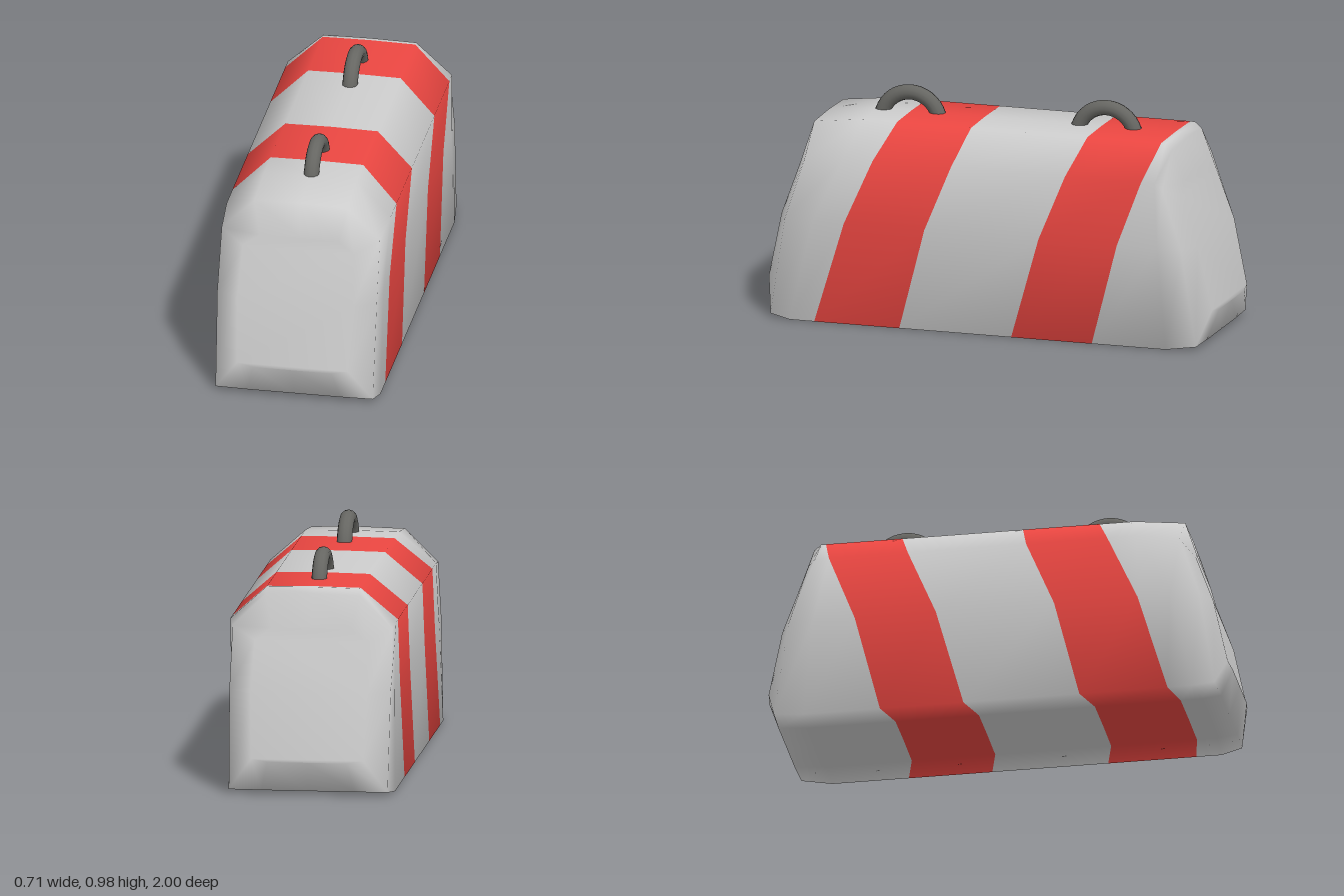
import * as THREE from 'three';

// Half cross-section of the body from top centre, down the +x side, to bottom centre
const SECTION = [[0, 0.868], [0.2, 0.865], [0.355, 0.725], [0.35, 0.44], [0.356, 0.003], [0.2, 0.01], [0, 0.013]];
const N = 12;

// Slanted rings along the body: z at top, shoulder, middle, bottom corner, bottom
const STATIONS = [
  [0.58, 0.62, 0.76, 0.86, 0.87],
  [0.43, 0.49, 0.62, 0.75, 0.78],
  [0.10, 0.14, 0.26, 0.37, 0.41],
  [-0.42, -0.37, -0.25, -0.13, -0.09],
  [-0.75, -0.71, -0.60, -0.49, -0.45],
  [-0.77, -0.77, -0.78, -0.82, -0.82],
];

// Rim and inner ring of the rounded ends
const RIM = [[0, 0.845, 0.8], [0.2, 0.84, 0.8], [0.342, 0.7, 0.8], [0.345, 0.44, 0.885],
  [0.34, 0.02, 0.95], [0.2, 0.02, 0.955], [0, 0.02, 0.955]];
const INNER = [[0, 0.71, 0.84], [0.17, 0.7, 0.845], [0.24, 0.65, 0.855], [0.25, 0.44, 0.93],
  [0.24, 0.16, 0.99], [0.17, 0.15, 1], [0, 0.15, 1]];

// Mirror a half ring of 7 points into a closed ring of 12
const closeRing = half => [...half, ...half.slice(1, 6).reverse().map(([x, y, z]) => [-x, y, z])];
const flipZ = half => half.map(([x, y, z]) => [x, y, -z]);

function bodyParts() {
  const body = STATIONS.map(([t, s, m, b, u]) => {
    const z = [t, t, s, m, b, u, u];
    return SECTION.map(([x, y], j) => [x, y, z[j]]);
  });
  const rings = [INNER, RIM, ...body, flipZ(RIM), flipZ(INNER)].map(closeRing);

  const grey = [], red = [];
  for (let i = 0; i < rings.length - 1; i++) {
    const target = i === 3 || i === 5 ? red : grey;
    for (let j = 0; j < N; j++) {
      const a = i * N + j, b = i * N + (j + 1) % N;
      target.push(a, b, a + N, b, b + N, a + N);
    }
  }
  // End faces, filled by strips running across from side to side
  const last = (rings.length - 1) * N;
  const tri = (a, b, c) => {
    grey.push(a, b, c);
    grey.push(last + a, last + c, last + b);
  };
  tri(0, 11, 1);
  for (let j = 1; j < 5; j++) {
    tri(j, N - j, N - j - 1);
    tri(j, N - j - 1, j + 1);
  }
  tri(5, 7, 6);

  // Normals are shared so the shading runs on across the colour change
  const whole = new THREE.BufferGeometry();
  whole.setAttribute('position', new THREE.Float32BufferAttribute(rings.flat(2), 3));
  whole.setIndex([...grey, ...red]);
  whole.computeVertexNormals();
  return [grey, red].map(index => {
    const g = new THREE.BufferGeometry();
    g.setAttribute('position', whole.attributes.position);
    g.setAttribute('normal', whole.attributes.normal);
    g.setIndex(index);
    return g;
  });
}

export function createModel() {
  const model = new THREE.Group();
  const add = (name, geometry, color) => {
    const mesh = new THREE.Mesh(geometry, new THREE.MeshStandardMaterial({ color }));
    mesh.name = name;
    model.add(mesh);
    return mesh;
  };

  const [block, stripes] = bodyParts();
  add('concreteBlock', block, 0xcccccc);
  add('warningStripes', stripes, 0xea4641);

  // Lifting loops, sunk into the top
  for (const [name, z] of [['frontLiftingLoop', 0.435], ['backLiftingLoop', -0.44]]) {
    const loop = add(name, new THREE.TorusGeometry(0.131, 0.033, 12, 20, Math.PI), 0x666662);
    loop.rotation.y = Math.PI / 2;
    loop.position.set(0, 0.817, z);
  }
  return model;
}
